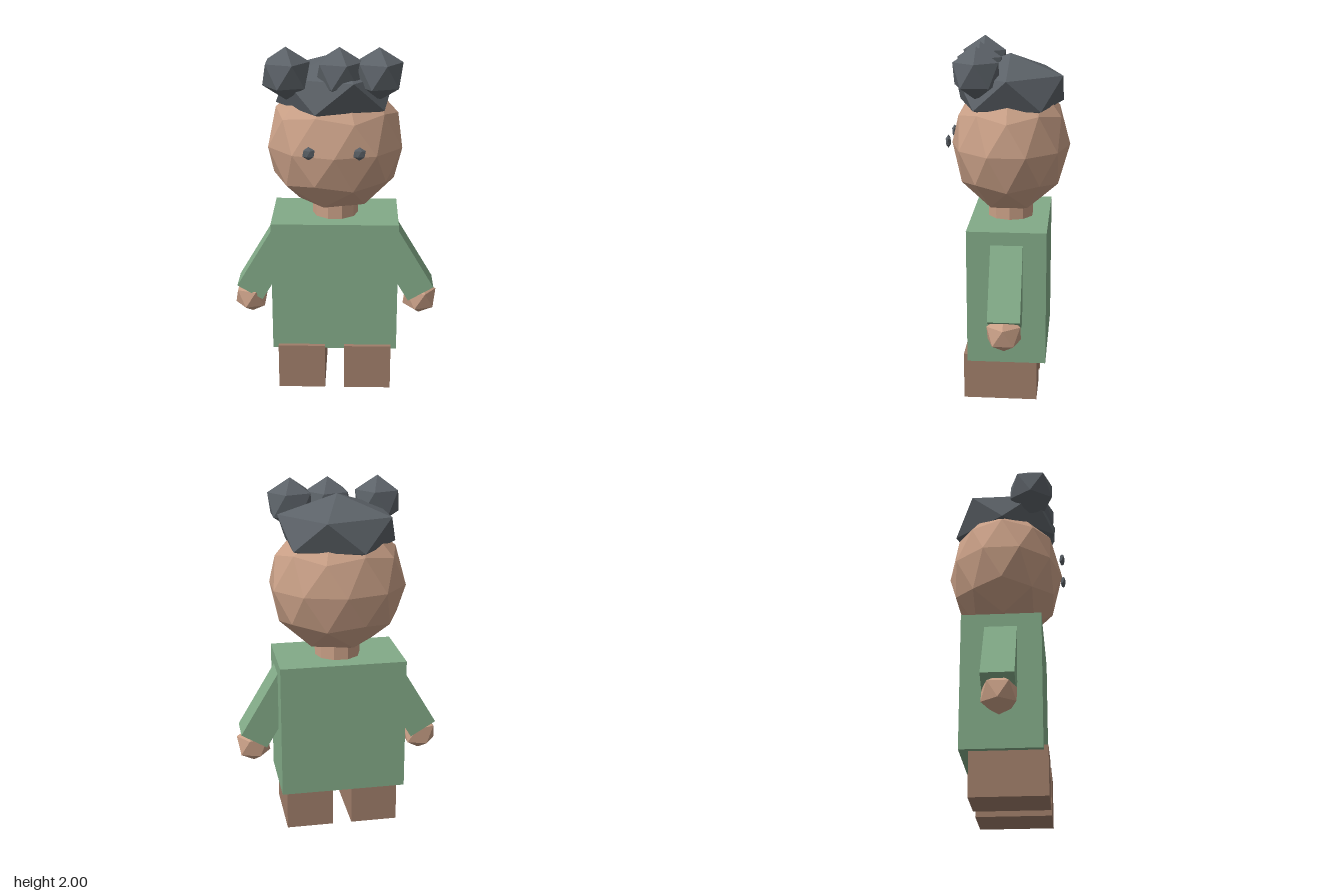
import * as THREE from 'three';

const material = (color) => new THREE.MeshStandardMaterial({ color, flatShading: true });

export function createModel() {
  const model = new THREE.Group();
  model.name = 'figure';
  const skin = material(0xc89f86);
  const brown = material(0x9f7d69);
  const green = material(0x82aa87);
  const dark = material(0x5c6268);

  function add(name, geometry, mat, x, y, z) {
    const mesh = new THREE.Mesh(geometry, mat);
    mesh.name = name;
    mesh.position.set(x, y, z);
    model.add(mesh);
    return mesh;
  }

  // Faceted ball standing on a corner, with an upper-ring corner towards +x
  function ball(rx, ry, rz, detail = 0) {
    const geometry = new THREE.IcosahedronGeometry(1, detail);
    geometry.rotateZ(-Math.atan(2 / (1 + Math.sqrt(5))));
    geometry.scale(rx, ry, rz);
    geometry.computeVertexNormals();
    return geometry;
  }

  // Body, neck and head
  add('torso', new THREE.BoxGeometry(0.715, 0.77, 0.44), green, 0, 0.63, -0.01);
  const neck = new THREE.CylinderGeometry(0.13, 0.13, 0.24, 10);
  neck.rotateY(Math.PI / 10);
  add('neck', neck, skin, 0, 1.07, -0.01);
  add('head', ball(0.39, 0.39, 0.333, 1), skin, 0, 1.43, -0.01);

  // Hair cap with three buns along the front
  add('hairCap', ball(0.37, 0.19, 0.345), dark, 0, 1.745, -0.007);
  for (const x of [-0.26, 0.025, 0.236]) {
    add('hairBun', ball(0.143, 0.143, 0.143), dark, x, 1.857, 0.158);
  }

  // Paired parts
  for (const [side, s] of [['left', 1], ['right', -1]]) {
    add(side + 'Eye', ball(0.037, 0.037, 0.016), dark, s * 0.135, 1.465, 0.327);
    const arm = add(side + 'Arm', new THREE.BoxGeometry(0.17, 0.5, 0.178), green, s * 0.372, 0.749, -0.012);
    arm.rotation.z = s * 0.537;
    add(side + 'Hand', ball(0.108, 0.108, 0.108), skin, s * 0.496, 0.485, -0.008);
    add(side + 'Leg', new THREE.BoxGeometry(0.27, 0.27, 0.415), brown, s * 0.19, 0.135, 0.027);
  }

  return model;
}
